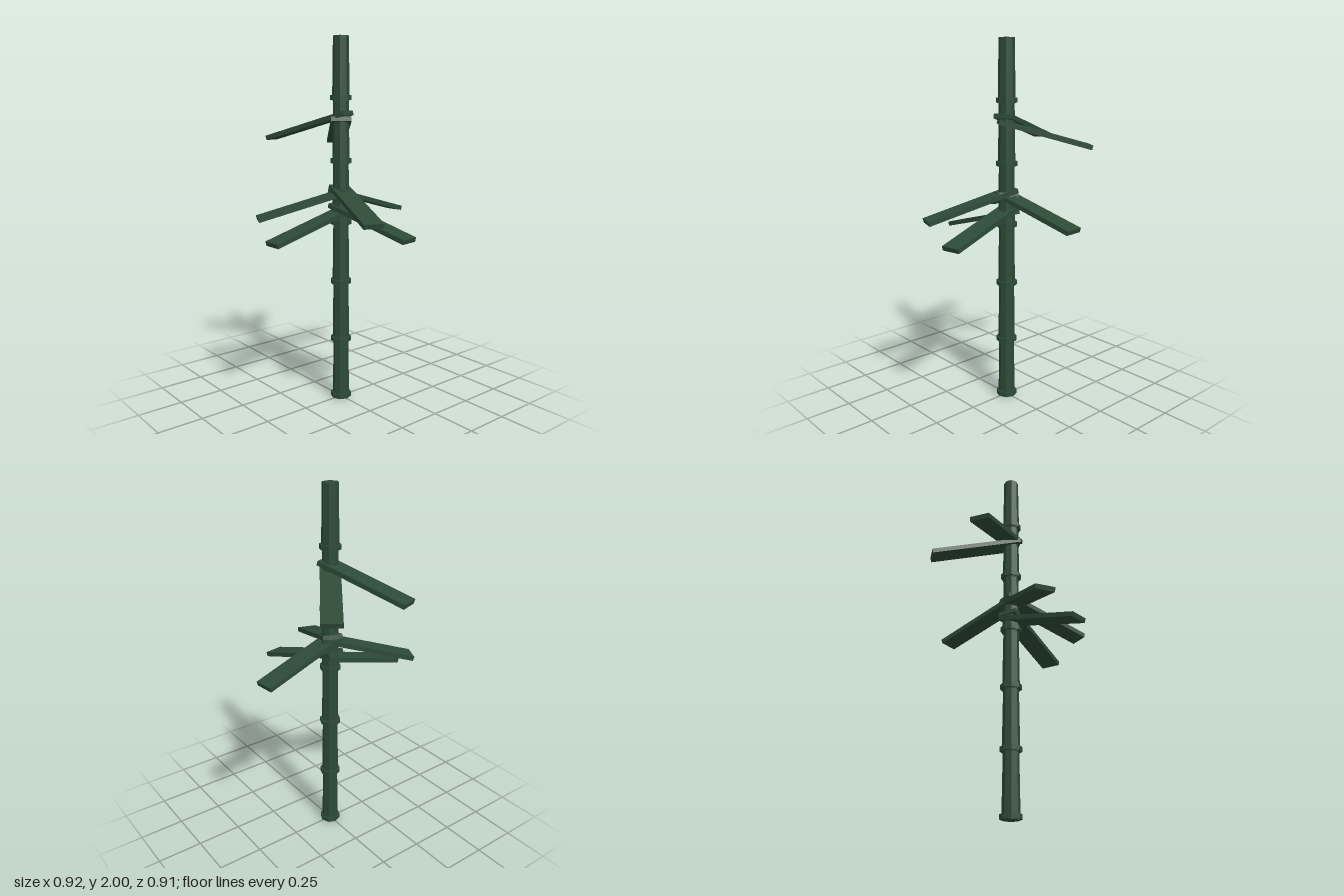
import * as THREE from 'three';

export function createModel() {
  const model = new THREE.Group();
  const green = new THREE.MeshStandardMaterial({ color: 0x2d4a37, flatShading: true });
  green.name = 'bamboo green';

  const add = (parent, name, geometry, y) => {
    const mesh = new THREE.Mesh(geometry, green);
    mesh.name = name;
    mesh.position.y = y;
    parent.add(mesh);
    return mesh;
  };

  // Stalk: six eight-sided segments, each with a collar at its foot
  const stalk = new THREE.Group();
  stalk.name = 'stalk';
  model.add(stalk);
  const count = 6, step = 2 / count;
  for (let i = 0; i < count; i++) {
    add(stalk, 'stalkSegment', new THREE.CylinderGeometry(0.042, 0.047, step, 8), step * (i + 0.5));
    add(stalk, 'collar', new THREE.CylinderGeometry(0.057, 0.057, 0.026, 8), step * i + 0.016);
  }

  // Leaves: flat planks drooping outward; [tip x, tip z, tip height]
  const tips = [
    [0.45, -0.05, 1.047],
    [0.268, -0.373, 1.432],
    [-0.164, -0.431, 1.462],
    [-0.41, -0.203, 1.047],
    [-0.456, 0.003, 0.945],
    [-0.143, 0.424, 1.065],
    [0.08, 0.437, 0.967],
  ];
  const slope = 0.28, inner = -0.045, outer = 0.455;
  const tilt = Math.atan(slope);
  const leafGeometry = new THREE.BoxGeometry((outer - inner) / Math.cos(tilt), 0.025, 0.108);
  for (const [x, z, tipY] of tips) {
    const pivot = new THREE.Group();
    pivot.name = 'leaf';
    pivot.rotation.y = Math.atan2(-z, x);
    model.add(pivot);
    const blade = add(pivot, 'leafBlade', leafGeometry, tipY + slope * (outer - inner) / 2);
    blade.position.x = (inner + outer) / 2;
    blade.rotation.z = -tilt;
  }

  return model;
}
